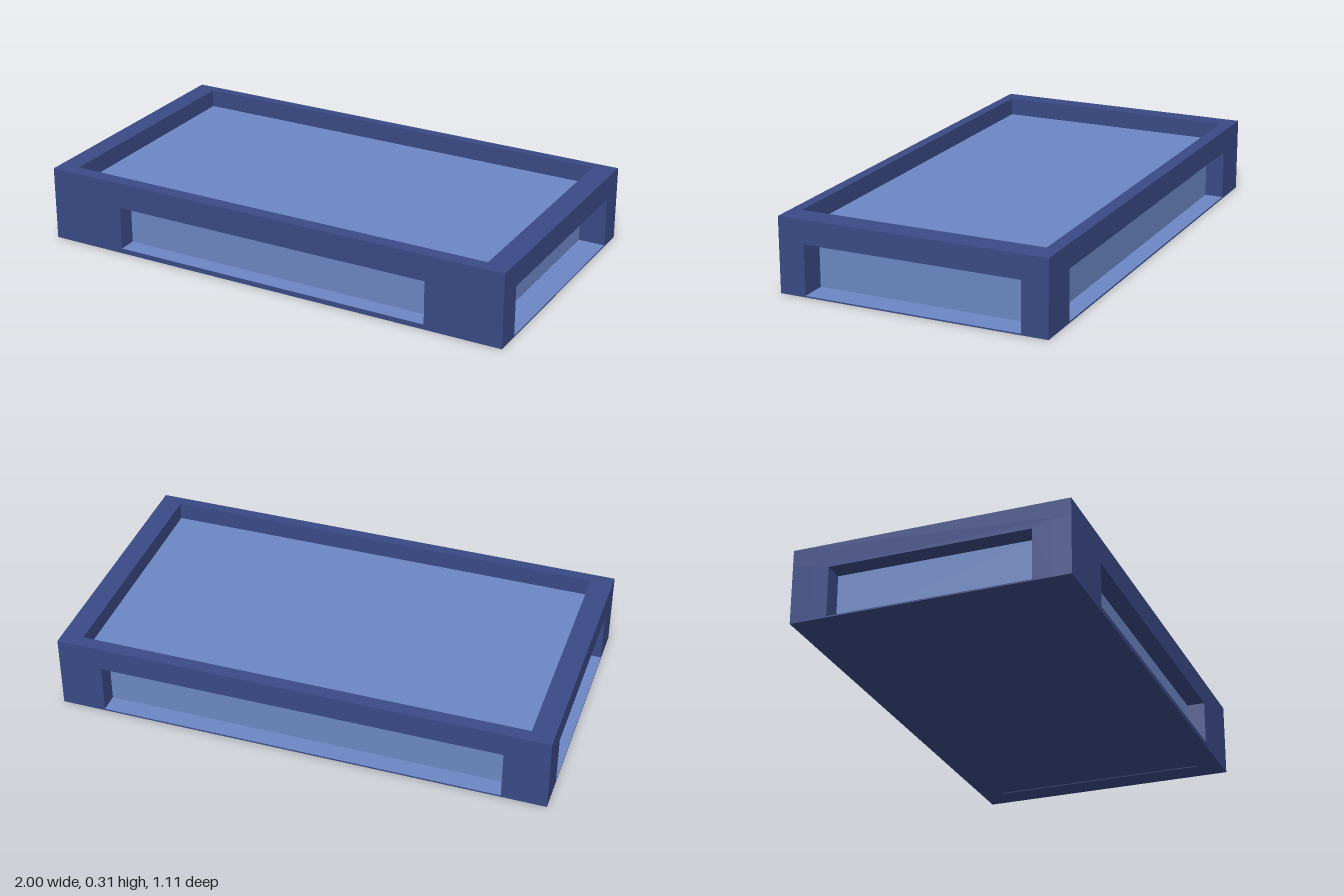
import * as THREE from 'three';

const dark = new THREE.MeshStandardMaterial({ color: 0x3a4a86, flatShading: true });
const light = new THREE.MeshStandardMaterial({ color: 0x6c87c4, flatShading: true });

const HX = 1, HZ = 0.555;          // half length and half width
const DECK = 0.235, RIM = 0.307;   // heights of the sunken deck and the outer rim
const PIT_X = 0.91, PIT_Z = 0.505; // half size of the top recess

// One entry per side: yaw, distance to outer face, half length of wall,
// half width of window, window bottom and top, window depth
const SIDES = [
  { name: 'front', yaw: 0, out: HZ, half: HX, w: 0.68, lo: 0.02, hi: 0.2, depth: 0.075 },
  { name: 'back', yaw: Math.PI, out: HZ, half: HX, w: 0.82, lo: 0.006, hi: 0.21, depth: 0.078 },
  { name: 'right', yaw: Math.PI / 2, out: HX, half: HZ - 0.075, w: 0.447, lo: 0.005, hi: 0.21, depth: 0.11 },
  { name: 'left', yaw: -Math.PI / 2, out: HX, half: HZ - 0.075, w: 0.405, lo: 0.006, hi: 0.21, depth: 0.08 },
];

function rect(x0, y0, x1, y1, Type = THREE.Shape) {
  return new Type([[x0, y0], [x1, y0], [x1, y1], [x0, y1]].map(([x, y]) => new THREE.Vector2(x, y)));
}

function mesh(name, geometry, material, x = 0, y = 0, z = 0) {
  const m = new THREE.Mesh(geometry, material);
  m.name = name;
  m.position.set(x, y, z);
  return m;
}

// Wall with a window, a recessed panel behind it and a light sill
function makeSide({ name, yaw, out, half, w, lo, hi, depth }) {
  const side = new THREE.Group();
  side.name = name + 'Side';
  side.rotation.y = yaw;

  const shape = rect(-half, 0, half, DECK);
  shape.holes.push(rect(-w, lo, w, hi, THREE.Path));
  const wall = new THREE.ExtrudeGeometry(shape, { depth, bevelEnabled: false });
  side.add(mesh(name + 'Wall', wall, dark, 0, 0, out - depth));

  const panel = new THREE.BoxGeometry(2 * w + 0.02, hi - lo + 0.01, 0.01);
  side.add(mesh(name + 'Panel', panel, light, 0, (lo + hi) / 2, out - depth - 0.005));

  const sill = new THREE.PlaneGeometry(2 * w, depth).rotateX(-Math.PI / 2);
  side.add(mesh(name + 'Sill', sill, light, 0, lo + 0.001, out - depth / 2));
  return side;
}

// Raised border around the deck, its top rising slightly inwards
function makeRim() {
  const shape = rect(-HX, -HZ, HX, HZ);
  shape.holes.push(rect(-PIT_X, -PIT_Z, PIT_X, PIT_Z, THREE.Path));
  const geo = new THREE.ExtrudeGeometry(shape, { depth: RIM - DECK, bevelEnabled: false });
  geo.rotateX(-Math.PI / 2);
  const p = geo.attributes.position;
  for (let i = 0; i < p.count; i++) {
    if (p.getY(i) > 0.01 && Math.abs(p.getX(i)) < 0.95) p.setY(i, RIM - DECK + 0.004);
  }
  geo.computeVertexNormals();
  return mesh('rim', geo, dark, 0, DECK, 0);
}

export function createModel() {
  const model = new THREE.Group();
  model.name = 'tray';
  SIDES.forEach((s) => model.add(makeSide(s)));
  model.add(makeRim());

  // Floor of the top recess
  model.add(mesh('deck', new THREE.BoxGeometry(2 * PIT_X, 0.012, 2 * PIT_Z), light, 0, DECK - 0.004, 0));

  // Closed underside
  model.add(mesh('base', new THREE.BoxGeometry(2 * HX, 0.004, 2 * HZ), dark, 0, 0.002, 0));
  return model;
}
